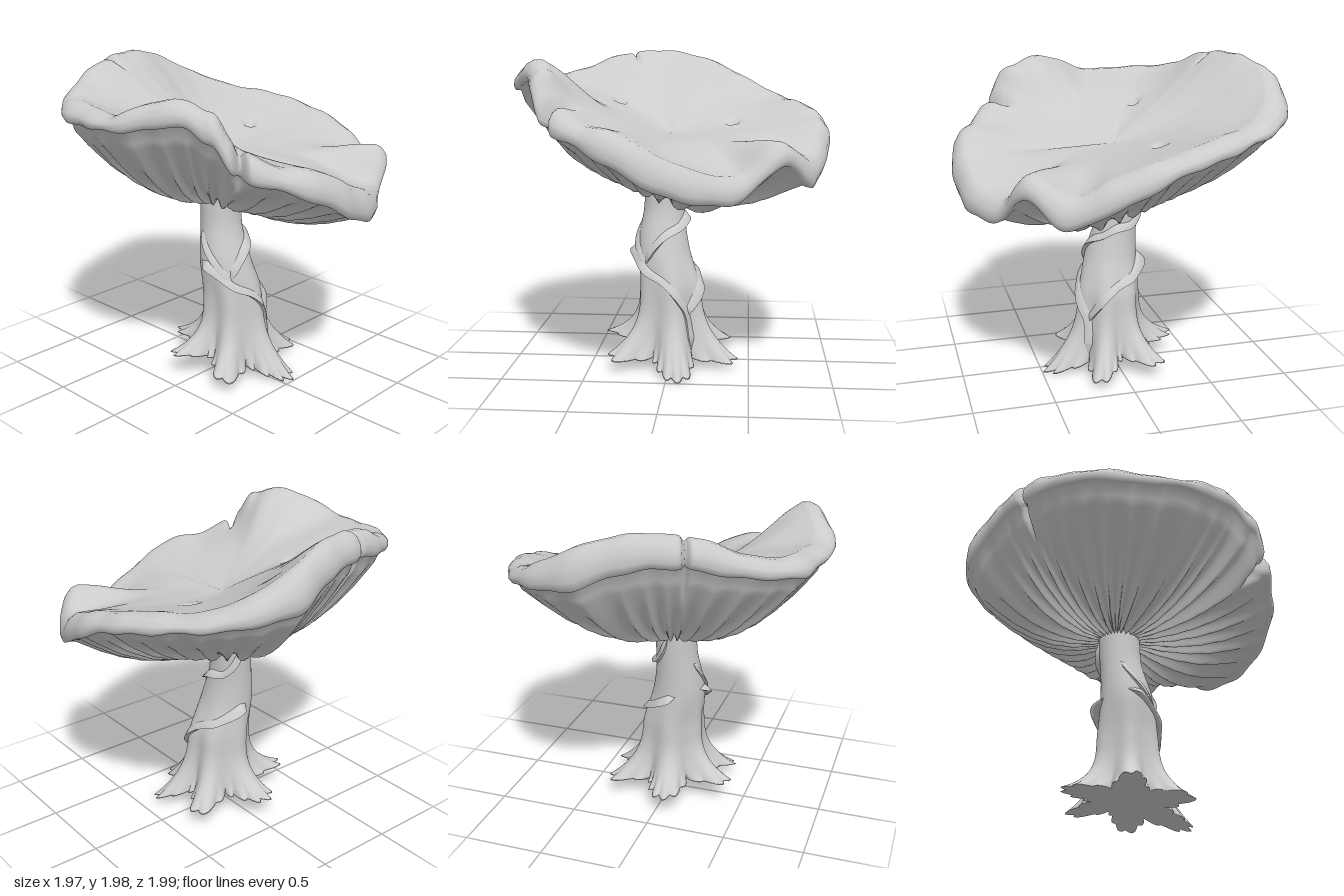
import * as THREE from 'three';

const TAU = Math.PI * 2, RAD = Math.PI / 180;
const material = new THREE.MeshStandardMaterial({ color: 0xcccccc, side: THREE.DoubleSide });
const { smoothstep, lerp, clamp } = THREE.MathUtils;
const bump = (d, w) => Math.exp(-(d * d) / (w * w));
const v3 = (a) => new THREE.Vector3(...a);

// Skin a grid of points; point(i, j) returns [x, y, z]. Wrapped grids close around j.
function loft(name, rows, cols, point, wrap = true) {
  const pos = [], idx = [];
  for (let i = 0; i < rows; i++) for (let j = 0; j < cols; j++) pos.push(...point(i, j));
  for (let i = 0; i < rows - 1; i++) {
    for (let j = 0; j < (wrap ? cols : cols - 1); j++) {
      const k = (j + 1) % cols, a = i * cols + j, b = i * cols + k;
      idx.push(a, a + cols, b, b, a + cols, b + cols);
    }
  }
  const geo = new THREE.BufferGeometry();
  geo.setAttribute('position', new THREE.Float32BufferAttribute(pos, 3));
  geo.setIndex(idx);
  geo.computeVertexNormals();
  const mesh = new THREE.Mesh(geo, material);
  mesh.name = name;
  return mesh;
}

// Rim every 15 degrees from +x towards +z: radius, crest height, lip height
const rim = new THREE.CatmullRomCurve3([
  [0.98, 1.55, 1.42], [0.98, 1.47, 1.3], [1.0, 1.38, 1.19], [0.98, 1.47, 1.34],
  [0.93, 1.3, 1.15], [0.96, 1.32, 1.15], [0.99, 1.42, 1.2], [1.0, 1.53, 1.35],
  [0.98, 1.58, 1.45], [0.98, 1.71, 1.54], [0.93, 1.91, 1.77], [0.94, 1.9, 1.76],
  [0.99, 1.81, 1.73], [0.99, 1.81, 1.71], [1.02, 1.82, 1.72], [0.98, 1.87, 1.75],
  [0.91, 1.95, 1.8], [0.9, 1.985, 1.81], [0.92, 1.97, 1.78], [1.03, 1.91, 1.67],
  [1.05, 1.78, 1.65], [1.03, 1.69, 1.6], [0.985, 1.65, 1.56], [0.98, 1.61, 1.51],
].map(v3), true, 'catmullrom', 0.5);

function makeCap() {
  const UNDER = 26, LIP = 6, TOP = 42, COLS = 480, CENTRE = 1.47;
  // rolled rim: radius fraction, share of the way from lip up to crest
  const lip = [[0.955, 0.04], [0.985, 0.02], [1, 0.25], [0.995, 0.55], [0.965, 0.85], [0.925, 0.99]];
  return loft('cap', UNDER + LIP + TOP, COLS, (i, j) => {
    const a = (j / COLS) * TAU;
    const p = rim.getPoint(j / COLS);
    const crinkle = 0.006 * Math.sin(11 * a) + 0.005 * Math.sin(23 * a + 1);
    // two torn notches in the rim, with a flap standing up beside the front one
    const tear = 0.11 * bump(a - 133 * RAD, 0.03) + 0.06 * bump(a - 247 * RAD, 0.018);
    const flap = bump(a - 141 * RAD, 0.06);
    const crest = p.y + crinkle * 0.6 - tear * 0.6 + 0.05 * flap, edge = p.z - crinkle + 0.07 * flap;
    let f, y, ox = 0, oz = 0;
    if (i < UNDER) {
      // gilled underside, sagging at the front left
      const u = i / (UNDER - 1);
      f = 0.05 + 0.88 * u;
      const sag = Math.max(0, Math.cos(a - 48 * RAD));
      const gill = Math.abs(Math.sin(18 * a + 1.6 * u + 0.9 * Math.sin(3 * a) + 0.5 * Math.sin(7 * a)));
      y = 1.15 + (edge + 0.025 - 1.15) * Math.pow(f, 2.3)
        - 0.11 * sag * sag * Math.sin(Math.PI * u)
        + 0.055 * (gill - 0.4) * Math.pow(Math.sin(Math.PI * Math.min(0.97, u)), 0.6);
      ox = -0.04 * (1 - u);
      oz = -0.05 * (1 - u);
    } else if (i < UNDER + LIP) {
      const [lf, t] = lip[i - UNDER];
      f = lf;
      y = edge + (crest - edge) * t;
    } else {
      // dished top: the middle follows a softened rim, the outside the real one
      const u = 1 - (i - UNDER - LIP) / (TOP - 1);
      f = 0.88 * u;
      let soft = 0;
      for (let k = -3; k <= 3; k++) soft += rim.getPoint((j / COLS + k / 30 + 1) % 1).y / 7;
      const power = 1.25 - 0.33 * Math.cos(a - 215 * RAD);
      const target = lerp(lerp(soft, p.y, smoothstep(u, 0.4, 0.95)), crest, smoothstep(u, 0.8, 1));
      y = CENTRE + (target - CENTRE) * Math.pow(u, power);
      // crease running out to the front
      y -= 0.015 * bump(a - 95 * RAD, 0.1) * Math.sin(Math.PI * u);
    }
    const r = f * (p.x + crinkle * 0.7) - tear * smoothstep(f, 0.78, 1);
    const x = r * Math.cos(a) + ox, z = r * Math.sin(a) + oz;
    // two small pits in the top
    if (i >= UNDER + LIP) y -= 0.05 * (bump(Math.hypot(x + 0.35, z + 0.23), 0.035) + bump(Math.hypot(x - 0.38, z + 0.18), 0.035));
    return [x, y, z];
  });
}

// Stem every 0.25 in height: centre x, centre z, radius
const stemLine = new THREE.CatmullRomCurve3([
  [0, 0.04, 0.2], [0, 0.04, 0.205], [-0.005, 0.035, 0.195],
  [-0.05, 0.01, 0.163], [-0.045, -0.03, 0.13], [-0.03, -0.04, 0.135],
].map(v3));

// Point on the stem surface, flaring into six toothed roots at the foot
function stemPoint(a, h, off = 0) {
  const c = stemLine.getPoint(clamp(h / 1.25, 0, 1));
  const k = Math.max(0, 1 - h / 0.42);
  const lobe = Math.cos(6 * (a - 82 * RAD) + 0.4 * Math.sin(2 * a));
  const teeth = Math.abs(Math.sin(15 * a + Math.sin(4 * a))) - 0.5;
  const flare = Math.pow(k, 2.4) * (0.135 + 0.085 * lobe) + Math.pow(k, 8) * 0.055 * teeth;
  const r = c.z + flare + off + 0.014 * lobe * smoothstep(0.8 - h, 0, 0.5);
  const x = c.x + r * Math.cos(a), z = c.y + r * Math.sin(a);
  const ground = Math.max(0, 0.125 - 0.07 * x - 0.25 * Math.max(0, z));
  return [x, h + ground * k, z];
}

function makeStem() {
  const ROWS = 44, COLS = 240;
  return loft('stem', ROWS, COLS, (i, j) => {
    const a = (j / COLS) * TAU;
    if (i === 0) return [0, 0.11, 0.04]; // sole
    const t = (i - 1) / (ROWS - 2);
    return stemPoint(a, 1.24 * Math.pow(t, 1.4));
  });
}

// Torn veil wrapped round the stem: points are angle in degrees, height, how far it stands out
function makeVeil(name, points) {
  const path = new THREE.CatmullRomCurve3(points.map(([d, y, out]) => new THREE.Vector3(d * RAD, y, out)));
  const section = [[0.04, -0.02], [0.025, 0.3], [-0.012, 1], [-0.012, 0.6], [-0.022, -0.02]];
  const COLS = 70;
  return loft(name, section.length, COLS, (i, j) => {
    const s = j / (COLS - 1);
    const p = path.getPoint(s), t = path.getTangent(s);
    const along = t.x * 0.18, len = Math.hypot(along, t.y) || 1;
    const sign = along < 0 ? -1 : 1;
    const taper = Math.min(1, 10 * s + 0.05, 10 * (1 - s) + 0.05);
    const w = section[i][0] * taper, o = section[i][1];
    const a = p.x - (sign * t.y / len) * w / 0.18;
    return stemPoint(a, p.y + (sign * along / len) * w, o < 0 ? -0.015 : o * p.z * taper);
  }, false);
}

export function createModel() {
  const model = new THREE.Group();
  model.name = 'mushroom';
  model.add(makeCap(), makeStem());
  // one strip from the left side, across the front and down to the foot
  model.add(makeVeil('lowerVeilFront', [
    [200, 0.76, 0.02], [172, 0.73, 0.05], [150, 0.67, 0.03], [125, 0.6, 0.035], [95, 0.54, 0.025],
    [70, 0.43, 0.025], [56, 0.32, 0.02], [52, 0.18, 0.015], [50, 0.06, 0.005],
  ]));
  model.add(makeVeil('lowerVeilSide', [
    [58, 0.3, 0.012], [35, 0.43, 0.03], [5, 0.55, 0.025], [-40, 0.62, 0.03], [-75, 0.69, 0.06], [-98, 0.73, 0.03],
  ]));
  model.add(makeVeil('upperVeil', [
    [135, 0.64, 0.01], [110, 0.74, 0.02], [80, 0.83, 0.035], [40, 0.88, 0.03], [10, 0.93, 0.04],
    [-35, 0.95, 0.025], [-65, 1.03, 0.03], [-90, 1.16, 0.02],
  ]));
  model.add(makeVeil('leftVeil', [[205, 0.95, 0.005], [180, 0.84, 0.02], [155, 0.74, 0.02], [128, 0.62, 0.01]]));
  return model;
}
